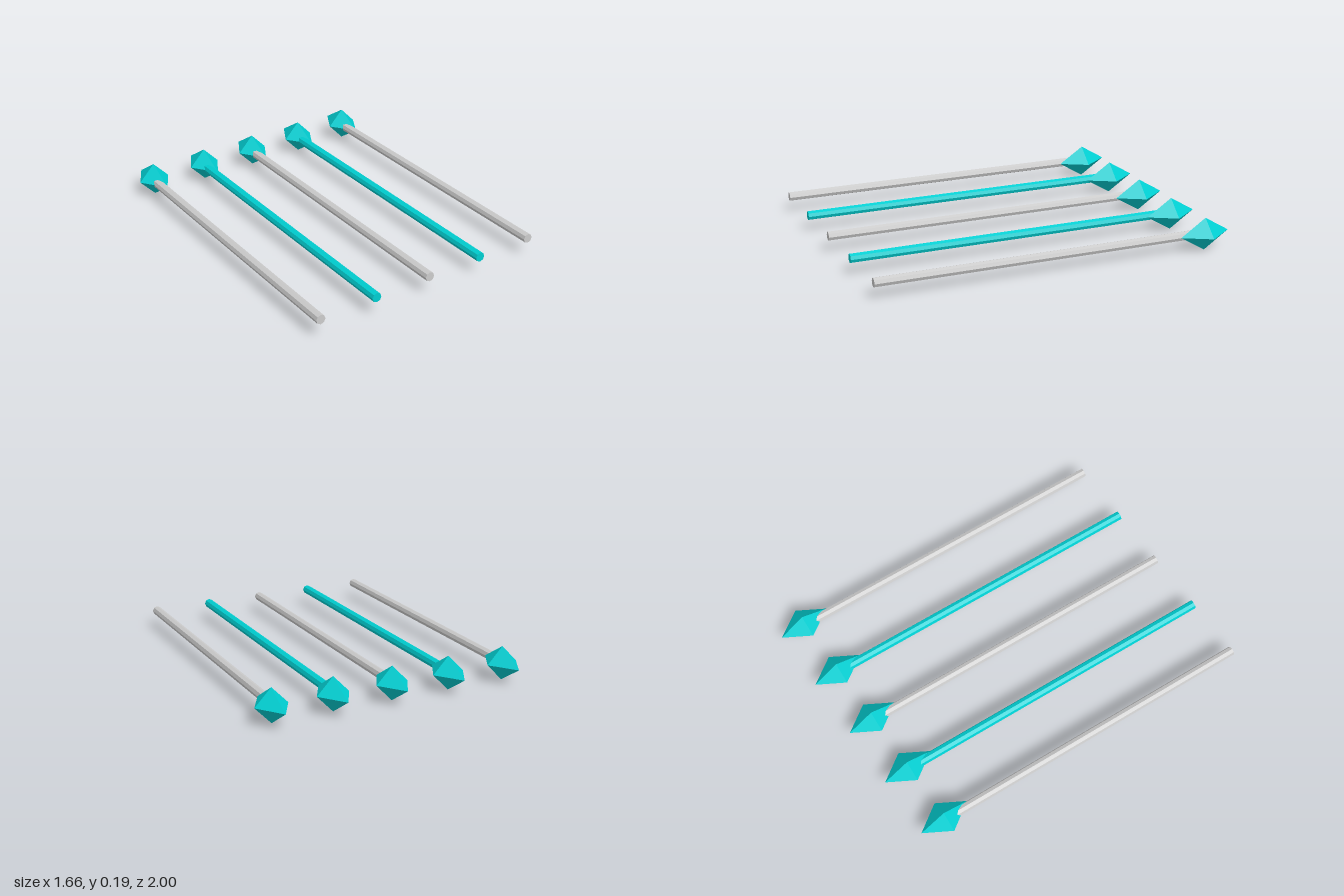
import * as THREE from 'three';

const COUNT = 5, SPACING = 0.3437, HEIGHT = 0.0925;
const HEAD_RADIUS = 0.0925, HEAD_HALF_LENGTH = 0.15, HEAD_Z = -0.85;
const ROD_RADIUS = 0.026;

export function createModel() {
  const group = new THREE.Group();
  const grey = new THREE.MeshStandardMaterial({ color: 0xcccccc, flatShading: true });
  const cyan = new THREE.MeshStandardMaterial({ color: 0x00ced1, flatShading: true });

  // Rod runs from the front end to just inside the head, slightly slanted
  const front = new THREE.Vector3(-0.171, 0, 0.998);
  const back = new THREE.Vector3(-0.015, 0, -0.82);
  const axis = back.clone().sub(front);
  const rodGeometry = new THREE.CylinderGeometry(ROD_RADIUS, ROD_RADIUS, axis.length(), 8);
  rodGeometry.rotateX(-Math.PI / 2);
  rodGeometry.rotateY(Math.atan2(-axis.x, -axis.z));
  rodGeometry.translate(...front.clone().add(back).multiplyScalar(0.5).toArray());

  // Pointed eight-faced head, stretched along z
  const headGeometry = new THREE.OctahedronGeometry(1);
  headGeometry.scale(HEAD_RADIUS, HEAD_RADIUS, HEAD_HALF_LENGTH);
  headGeometry.translate(0, 0, HEAD_Z);

  for (let i = 0; i < COUNT; i++) {
    const arrow = new THREE.Group();
    arrow.name = `arrow${i + 1}`;
    arrow.position.set(0.0515 + (i - 2) * SPACING, HEIGHT, 0);

    const rod = new THREE.Mesh(rodGeometry, i % 2 ? cyan : grey);
    rod.name = 'rod';
    const head = new THREE.Mesh(headGeometry, cyan);
    head.name = 'head';
    arrow.add(rod, head);
    group.add(arrow);
  }
  return group;
}
